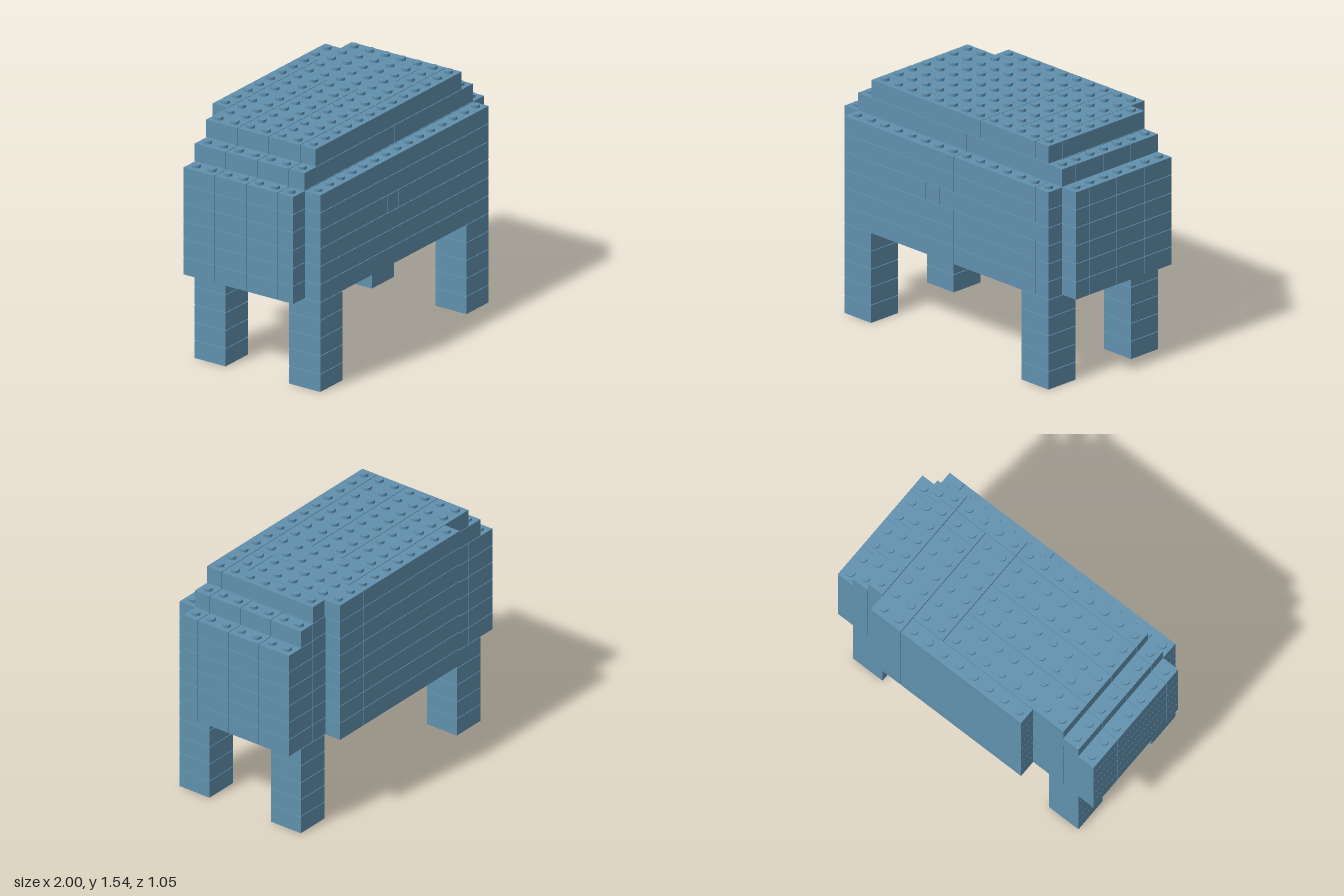
import * as THREE from 'three';
import { mergeGeometries } from 'three/addons/utils/BufferGeometryUtils.js';

const U = 2 / 17;      // grid pitch and layer height
const GAP = 0.004;     // seam between bricks
const COLS = 17, ROWS = 9;

const px = (i) => (i - COLS / 2) * U;
const pz = (k) => (k - ROWS / 2) * U;

// One brick covering cells x0..x1, z0..z1 of a layer
function brick([x0, x1, z0, z1], layer) {
  const g = new THREE.BoxGeometry((x1 - x0) * U - GAP, U - GAP, (z1 - z0) * U - GAP);
  g.translate((px(x0) + px(x1)) / 2, (layer + 0.5) * U, (pz(z0) + pz(z1)) / 2);
  return g;
}

// Split a row into bricks at the listed x cells
const row = (z0, z1, ...xs) => xs.slice(1).map((x, i) => [xs[i], x, z0, z1]);

// Layers 0-4: four square legs
const legs = [[1, 3, 7, 9], [14, 16, 7, 9], [1, 3, 1, 3], [14, 16, 1, 3]];

// Body layers, with the joints shifting on alternate layers
function bodyLayer(n) {
  const front = n === 3 ? [1, 7, 8, 16] : [1, 9, 15, 16];
  const mid = n % 2 ? 9 : 10;
  return [
    ...row(8, 9, ...front),
    ...row(7, 8, 0, 2, 9, 14, 17),
    ...row(5, 7, 0, 2, mid, 15, 17),
    ...row(3, 5, 0, 2, mid, 15, 17),
    ...row(1, 3, 0, 2, mid, 15, 17),
    ...row(0, 1, 4, 12, 14),
  ];
}

const upperStep = [
  ...row(7, 8, 1, 9, 16),
  ...row(5, 7, 1, 9, 15, 16),
  ...row(3, 5, 1, 9, 15, 16),
  ...row(1, 3, 1, 9, 15, 16),
  ...row(0, 1, 4, 12, 14),
];

const topStep = [
  ...row(7, 8, 2, 10, 14, 15),
  [2, 10, 5, 7], [2, 10, 3, 5], [2, 10, 1, 3],
  [10, 12, 1, 7], [12, 14, 0, 6], [12, 14, 6, 7],
  [14, 15, 1, 7], [4, 12, 0, 1],
];

export function createModel() {
  const blue = new THREE.MeshStandardMaterial({ color: 0x6090ae });
  blue.name = 'dustyBlue';
  const model = new THREE.Group();
  model.name = 'brickTable';

  const add = (name, geometries) => {
    const mesh = new THREE.Mesh(mergeGeometries(geometries), blue);
    mesh.name = name;
    model.add(mesh);
  };

  // Legs, five bricks each
  const legNames = ['frontRightLeg', 'frontLeftLeg', 'backRightLeg', 'backLeftLeg'];
  legs.forEach((cells, i) =>
    add(legNames[i], Array.from({ length: 5 }, (_, layer) => brick(cells, layer))));

  // Body and the two stepped layers on top
  const layers = Array.from({ length: 6 }, (_, n) => bodyLayer(n));
  layers.push(upperStep, topStep);
  const build = (from, to) => layers.slice(from, to)
    .flatMap((bricks, i) => bricks.map((b) => brick(b, 5 + from + i)));
  add('body', build(0, 6));
  add('upperStep', build(6, 7));
  add('topStep', build(7, 8));

  // Round studs on every cell that has no brick above it
  const covered = (bricks, x, z) =>
    !!bricks && bricks.some(([x0, x1, z0, z1]) => x >= x0 && x < x1 && z >= z0 && z < z1);
  const studs = [];
  for (let n = 5; n < 8; n++)
    for (let x = 0; x < COLS; x++)
      for (let z = 0; z < ROWS; z++) {
        if (!covered(layers[n], x, z) || covered(layers[n + 1], x, z)) continue;
        const g = new THREE.CylinderGeometry(0.028, 0.028, 0.02, 16);
        g.translate(px(x + 0.5), (n + 6) * U + 0.006, pz(z + 0.5));
        studs.push(g);
      }
  add('studs', studs);
  return model;
}
